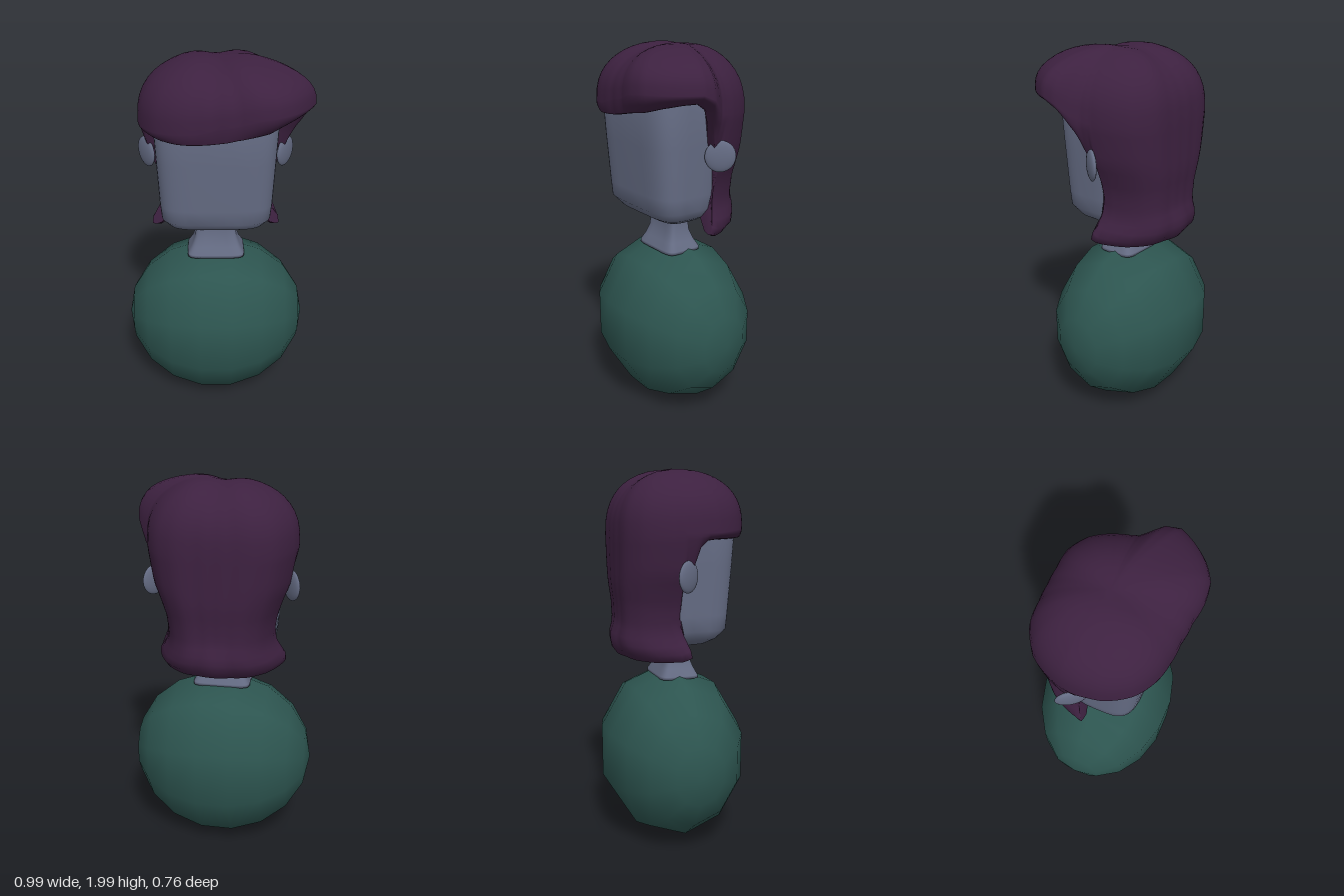
import * as THREE from 'three';
import { mergeVertices } from 'three/addons/utils/BufferGeometryUtils.js';

const { lerp, smoothstep, clamp, degToRad } = THREE.MathUtils;

// Smooth surface from a grid of points: i runs round (+x towards +z), j runs downwards.
function gridGeometry(cols, rows, point) {
  const pos = [], index = [];
  for (let j = 0; j <= rows; j++)
    for (let i = 0; i <= cols; i++) pos.push(...point(i % cols, j));
  for (let j = 0; j < rows; j++)
    for (let i = 0; i < cols; i++) {
      const a = j * (cols + 1) + i, b = a + 1, c = a + cols + 1, d = c + 1;
      index.push(a, b, c, b, d, c);
    }
  const g = new THREE.BufferGeometry();
  g.setAttribute('position', new THREE.Float32BufferAttribute(pos, 3));
  g.setIndex(index);
  const merged = mergeVertices(g, 1e-5);
  merged.computeVertexNormals();
  return merged;
}

// Linear lookup in a table whose rows start with an ascending key.
function lookup(table, key) {
  let k = 0;
  while (k < table.length - 2 && key > table[k + 1][0]) k++;
  const a = table[k], b = table[k + 1];
  const t = clamp((key - a[0]) / (b[0] - a[0]), 0, 1);
  return a.map((v, n) => lerp(v, b[n], t));
}

// Stack of superellipse sections [y, half width, front z, back z], listed top to bottom.
function loft(sections, frontPower, backPower) {
  const cols = 48;
  return gridGeometry(cols, sections.length - 1, (i, j) => {
    const [y, w, front, back] = sections[j];
    const a = (i / cols) * Math.PI * 2, c = Math.cos(a), s = Math.sin(a);
    const e = 2 / (s >= 0 ? frontPower : backPower);
    const mid = (front + back) / 2;
    const depth = (front - back) / 2;
    return [
      Math.sign(c) * Math.abs(c) ** e * w, y,
      mid + Math.sign(s) * Math.abs(s) ** e * depth,
    ];
  });
}

// Hair outline: angle (0 = +x, 90 = front), plan radius, height of widest point, lower edge.
const BACK = [[-90, 0.325, 1.65, 1.03], [-74, 0.335, 1.65, 1.025], [-58, 0.37, 1.65, 1.02],
  [-40, 0.39, 1.65, 1.02], [-18, 0.39, 1.66, 1.03], [-11, 0.39, 1.67, 1.05]];
const HAIR = [
  ...BACK,
  [-8, 0.392, 1.67, 1.48], [-2, 0.4, 1.68, 1.5], [3, 0.43, 1.7, 1.6],
  [10, 0.477, 1.76, 1.7], [18, 0.498, 1.79, 1.74], [28, 0.49, 1.79, 1.735],
  [41, 0.478, 1.79, 1.72], [52.5, 0.46, 1.79, 1.7], [63, 0.42, 1.78, 1.69],
  [74, 0.372, 1.75, 1.675], [90, 0.345, 1.73, 1.655], [106.6, 0.35, 1.7, 1.645],
  [123, 0.369, 1.69, 1.64], [141, 0.387, 1.68, 1.64], [162, 0.392, 1.67, 1.64],
  [171, 0.39, 1.67, 1.635], [177, 0.39, 1.67, 1.6], [182, 0.39, 1.67, 1.5], [188, 0.39, 1.67, 1.47],
  ...BACK.map(([a, ...rest]) => [180 - a, ...rest]).reverse(),
];

// Width and depth of the hanging hair by height: narrow at the jaw, flipped out at the ends.
const HANG = [[1.02, 0.9, 0.93], [1.04, 0.95, 1.03], [1.08, 0.95, 1.08], [1.13, 0.83, 1.08],
  [1.2, 0.76, 0.97], [1.3, 0.78, 0.97], [1.4, 0.86, 1], [1.47, 0.93, 1], [1.65, 1, 1]];

function hairGeometry() {
  const sub = 4, dome = 12, hang = 16;
  const cols = (HAIR.length - 1) * sub;
  return gridGeometry(cols, dome + hang + 3, (i, j) => {
    const k = Math.floor(i / sub);
    const key = lerp(HAIR[k][0], HAIR[k + 1][0], (i % sub) / sub);
    const [deg, radius, shoulder, edge] = lookup(HAIR, key);
    const a = degToRad(deg), c = Math.cos(a), s = Math.sin(a);
    let r = radius, y;
    if (j <= dome) {
      // crown, with a shallow parting
      const t = (j / dome) * Math.PI / 2;
      r *= Math.sin(t);
      y = lerp(shoulder, 1.99, Math.max(0, Math.cos(t)) ** 0.8);
      const x = r * c;
      y += (0.012 * smoothstep(x, 0.02, 0.2) - 0.018 * Math.exp(-x * x / 0.006)) * Math.cos(t);
    } else {
      // hanging part, then the rim turned inwards
      const t = Math.min(1, (j - dome) / hang);
      const tuck = clamp(0.04 + (radius - 0.37) * 0.9, 0.03, 0.15);
      y = lerp(shoulder, edge, t);
      r *= 1 - tuck * t ** 2;
      const inner = j - dome - hang;
      if (inner > 0) {
        r -= [0.02, 0.05, 0.08][inner - 1];
        y += [-0.004, 0.008, 0.08][inner - 1];
      }
    }
    const [, wide, deep] = lookup(HANG, y);
    const forward = 0.06 * (1 - smoothstep(y, 1.06, 1.24)) * Math.abs(c);
    return [r * c * wide, y, r * s * (s < 0 ? deep : 1) + forward];
  });
}

export function createModel() {
  const model = new THREE.Group();
  const material = (color) => new THREE.MeshStandardMaterial({ color, side: THREE.DoubleSide });
  const skin = material(0x656c84), cloth = material(0x2d5550), hairColor = material(0x3d2140);
  const add = (name, geometry, mat) => {
    const mesh = new THREE.Mesh(geometry, mat);
    mesh.name = name;
    model.add(mesh);
    return mesh;
  };

  // Round body: coarse sphere lying on its side, slightly flattened front to back
  const body = new THREE.SphereGeometry(1, 10, 9);
  body.rotateZ(Math.PI / 2);
  body.scale(0.495, 0.475, 0.393);
  body.translate(0, 0.468, -0.014);
  add('body', body, cloth);

  // Neck with a flared base
  add('neck', loft([
    [1.13, 0.105, 0.06, -0.06], [1.06, 0.105, 0.06, -0.06], [1, 0.112, 0.066, -0.066],
    [0.95, 0.13, 0.085, -0.085], [0.91, 0.153, 0.105, -0.108], [0.895, 0.155, 0.108, -0.11],
    [0.89, 0.1, 0.06, -0.06],
  ], 6, 6), skin);

  // Head: square face, rounder behind, bevelled chin
  add('head', loft([
    [1.88, 0, 0, 0], [1.85, 0.23, 0.18, -0.18], [1.8, 0.28, 0.235, -0.23],
    [1.72, 0.312, 0.272, -0.26], [1.5, 0.303, 0.26, -0.25], [1.25, 0.292, 0.241, -0.22],
    [1.17, 0.284, 0.235, -0.2], [1.12, 0.25, 0.19, -0.18], [1.09, 0.2, 0.14, -0.14],
    [1.075, 0.1, 0.06, -0.1], [1.075, 0, -0.02, -0.02],
  ], 4.5, 2.3), skin);

  // Ears: flat discs swept backwards
  for (const side of [1, -1]) {
    const ear = new THREE.SphereGeometry(1, 20, 14);
    ear.scale(0.078, 0.08, 0.02);
    ear.rotateY(side * 0.96);
    ear.translate(side * 0.36, 1.46, -0.045);
    add(side > 0 ? 'leftEar' : 'rightEar', ear, skin);
  }

  // Hair: cap with a swept fringe, sideburns and a flipped back
  add('hair', hairGeometry(), hairColor);
  return model;
}
